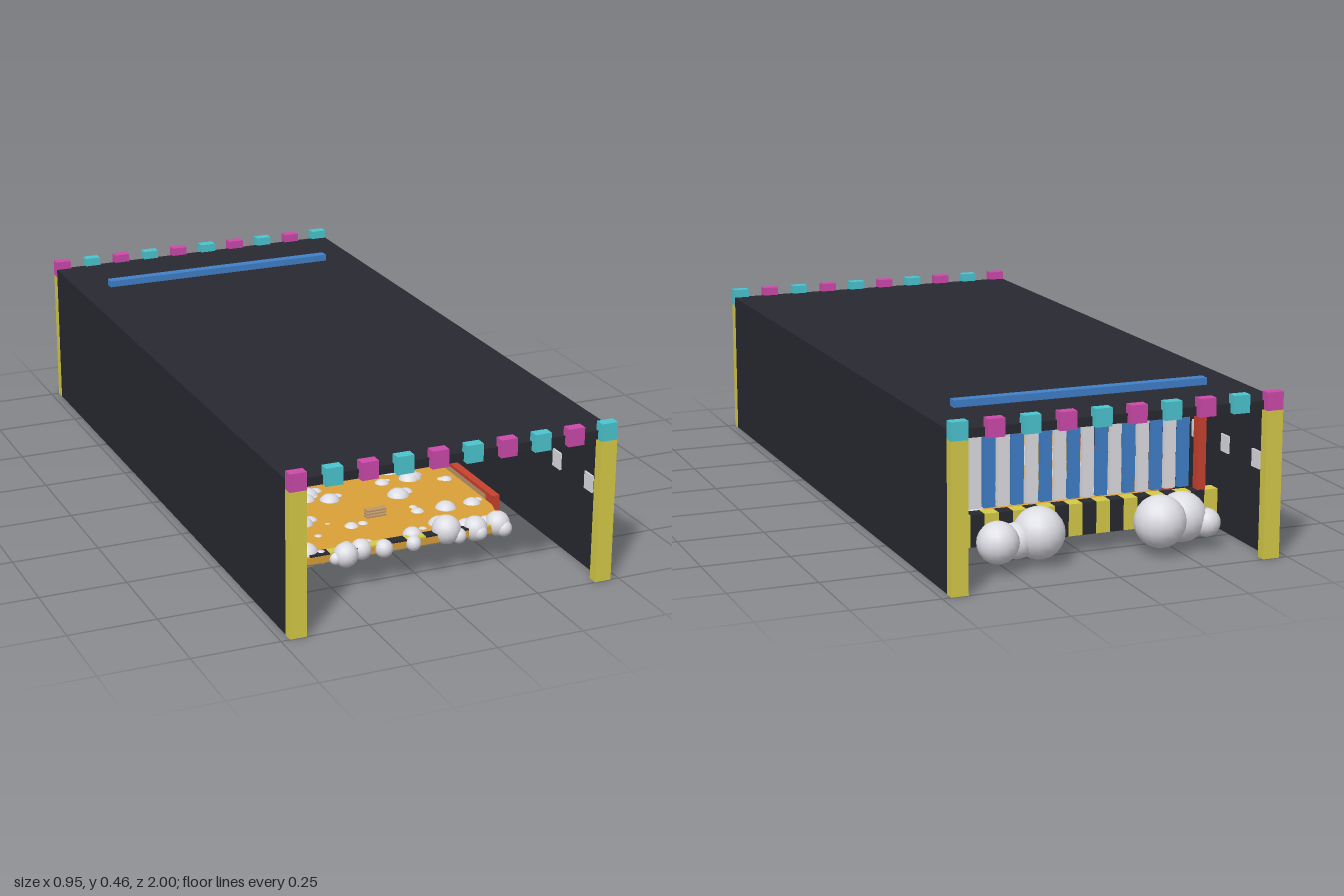
import * as THREE from 'three';

const paint = (name, color) => {
  const m = new THREE.MeshStandardMaterial({ color });
  m.name = name;
  return m;
};

export function createModel() {
  const model = new THREE.Group();
  model.name = 'washTunnel';

  const charcoal = paint('charcoal', 0x282831);
  const yellow = paint('yellow', 0xd6ca48);
  const teal = paint('teal', 0x4bc5d0);
  const magenta = paint('magenta', 0xcc4aaa);
  const blue = paint('blue', 0x4080c8);
  const red = paint('red', 0xc8412f);
  const white = paint('foamWhite', 0xdcdce3);
  const gold = paint('gold', 0xdaa038);
  const tan = paint('tan', 0xbe9868);
  const stone = paint('stoneGrey', 0x7e7c70);

  const group = (name) => {
    const g = new THREE.Group();
    g.name = name;
    model.add(g);
    return g;
  };
  // Box given by its extents along each axis
  const box = (parent, name, mat, x0, x1, y0, y1, z0, z1) => {
    const mesh = new THREE.Mesh(new THREE.BoxGeometry(x1 - x0, y1 - y0, z1 - z0), mat);
    mesh.position.set((x0 + x1) / 2, (y0 + y1) / 2, (z0 + z1) / 2);
    mesh.name = name;
    parent.add(mesh);
    return mesh;
  };
  const ballGeometry = new THREE.SphereGeometry(1, 16, 12);
  const ball = (parent, name, mat, x, y, z, r) => {
    const mesh = new THREE.Mesh(ballGeometry, mat);
    mesh.position.set(x, y, z);
    mesh.scale.setScalar(r);
    mesh.name = name;
    parent.add(mesh);
  };

  // Tunnel shell: two walls and a roof, open at the ends and below
  const shell = group('shell');
  box(shell, 'roof', charcoal, -0.474, 0.474, 0.412, 0.437, -0.98, 0.98);
  for (const s of [-1, 1]) {
    const wall = box(shell, 'wall', charcoal, -0.01, 0.01, 0, 0.412, -0.97, 0.97);
    wall.position.x = s * 0.464;
    // Light panels on the inner wall face
    for (let i = -5; i <= 5; i++) {
      const panel = box(shell, 'wallLight', white, -0.003, 0.003, 0.23, 0.28, -0.022, 0.022);
      panel.position.x = s * 0.452;
      panel.position.z = i * 0.18;
    }
  }

  // Corner posts and coloured blocks along both end edges
  const ends = group('endTrim');
  for (const z of [-0.985, 0.985]) {
    for (const x of [-0.451, 0.451]) {
      box(ends, 'cornerPost', yellow, x - 0.024, x + 0.024, 0, 0.412, z - 0.015, z + 0.015);
    }
    for (let i = 0; i < 10; i++) {
      const x = -0.451 + i * 0.1002;
      box(ends, 'edgeBlock', i % 2 ? teal : magenta,
        x - 0.024, x + 0.024, 0.412, 0.462, z - 0.0151, z + 0.0151);
    }
  }

  // Ceiling lights, nozzles and the hanging ball
  const ceiling = group('ceilingFittings');
  for (let i = -5; i <= 5; i++) {
    for (const x of [-0.33, -0.11, 0.11, 0.33]) {
      box(ceiling, 'ceilingLight', stone, x - 0.02, x + 0.02, 0.408, 0.4125, i * 0.18 - 0.02, i * 0.18 + 0.02);
    }
  }
  for (let i = -3; i <= 3; i++) ball(ceiling, 'nozzle', stone, i * 0.09, 0.408, -0.55, 0.011);
  ball(ceiling, 'hangingBall', white, 0, 0.345, 0, 0.036);

  // Strip curtain in a red frame near the back
  const curtain = group('curtain');
  const cz = -0.74;
  box(curtain, 'roofBar', blue, -0.372, 0.372, 0.437, 0.457, cz - 0.015, cz + 0.015);
  for (let i = 0; i < 16; i++) {
    const x = -0.309 + i * 0.0412;
    box(curtain, 'curtainStrip', i % 2 ? white : blue,
      x - 0.0165, x + 0.0165, 0.152, 0.412, cz - 0.008, cz + 0.008);
  }
  for (const x of [-0.362, 0.362]) {
    box(curtain, 'framePost', red, x - 0.012, x + 0.012, 0.13, 0.412, cz - 0.015, cz + 0.015);
  }
  // Sill: red towards the front, hazard blocks on its top and back
  box(curtain, 'sill', red, -0.41, 0.41, 0.05, 0.13, cz, cz + 0.02);
  const dash = 0.82 / 20;
  for (let i = 0; i < 20; i++) {
    const mat = i % 2 ? charcoal : yellow;
    const x = -0.41 + i * dash;
    box(curtain, 'hazardTop', mat, x, x + dash, 0.13, 0.14, cz - 0.02, cz + 0.02);
    box(curtain, 'hazardBack', mat, x, x + dash, 0.05, 0.13, cz - 0.02, cz);
  }

  // Raised floor with tapered front
  const floor = group('floor');
  const slab = (name, mat, w, z0, z1, y, h) => {
    const shape = new THREE.Shape([
      new THREE.Vector2(-w, -z0), new THREE.Vector2(-w, -z1 + 0.14),
      new THREE.Vector2(-w + 0.04, -z1), new THREE.Vector2(w - 0.04, -z1),
      new THREE.Vector2(w, -z1 + 0.14), new THREE.Vector2(w, -z0),
    ]);
    const geo = new THREE.ExtrudeGeometry(shape, { depth: h, bevelEnabled: false });
    geo.rotateX(-Math.PI / 2);
    const mesh = new THREE.Mesh(geo, mat);
    mesh.position.y = y;
    mesh.name = name;
    floor.add(mesh);
  };
  slab('floorSlab', gold, 0.335, -0.72, 0.7, 0.054, 0.02);
  slab('underside', stone, 0.335, -0.62, 0.695, 0.048, 0.006);
  box(floor, 'backUnderside', tan, -0.335, 0.335, 0.048, 0.054, -0.72, -0.62);

  // Side rails with red caps and ends, and tan patches beneath
  for (const s of [-1, 1]) {
    const parts = [
      box(floor, 'sideRail', tan, -0.012, 0.012, 0.05, 0.09, -0.72, 0.52),
      box(floor, 'railCap', red, -0.012, 0.012, 0.09, 0.1, -0.72, 0.52),
      box(floor, 'railEnd', red, -0.012, 0.012, 0.05, 0.1, 0.52, 0.56),
    ];
    for (const part of parts) part.position.x = s * 0.347;
    const patch = box(floor, 'undersidePatch', tan, -0.06, 0.06, 0.043, 0.049, -0.24, 0.24);
    patch.position.x = s * 0.29;
  }
  for (let i = 0; i < 10; i++) {
    const x = -0.29 + i * 0.058;
    box(floor, 'frontHazard', i % 2 ? yellow : charcoal, x, x + 0.058, 0.074, 0.079, 0.67, 0.699);
  }
  // Small slatted rack on the floor
  for (let i = 0; i < 3; i++) {
    box(floor, 'rackSlat', tan, -0.04, 0.02, 0.077 + i * 0.009, 0.082 + i * 0.009, 0.5, 0.52);
  }

  // Small hook on a dark plate under the middle
  box(floor, 'hookPlate', charcoal, -0.025, 0.025, 0.043, 0.049, -0.025, 0.025);
  const hook = new THREE.Mesh(new THREE.TorusGeometry(0.016, 0.006, 8, 16, Math.PI), yellow);
  hook.position.set(0, 0.024, 0);
  hook.name = 'centreHook';
  floor.add(hook);

  // Foam bubbles: [x, y, radius] along the front edge
  const foam = group('foam');
  const front = [
    [-0.285, 0.066, 0.035], [-0.315, 0.06, 0.02], [-0.185, 0.066, 0.035], [-0.165, 0.063, 0.022],
    [-0.13, 0.065, 0.03], [-0.07, 0.065, 0.026], [-0.05, 0.06, 0.014], [0.002, 0.062, 0.013],
    [0.02, 0.065, 0.022], [0.035, 0.066, 0.029], [0.13, 0.08, 0.042], [0.16, 0.064, 0.022],
    [0.2, 0.064, 0.028], [0.22, 0.068, 0.036], [0.225, 0.063, 0.022], [0.265, 0.064, 0.026],
    [0.29, 0.072, 0.036], [0.3, 0.063, 0.024], [0.32, 0.062, 0.015], [-0.25, 0.062, 0.02],
    [-0.215, 0.06, 0.018], [-0.1, 0.06, 0.02],
  ];
  front.forEach(([x, y, r], i) => ball(foam, 'frontBubble', white, x, y, 0.66 + (i % 3) * 0.02, r));

  // Large bubbles heaped behind the curtain
  const heap = [
    [-0.27, 0.09, 0.07], [-0.19, 0.093, 0.073], [0.155, 0.09, 0.072],
    [0.285, 0.085, 0.058], [0.22, 0.075, 0.05], [-0.33, 0.075, 0.04],
  ];
  heap.forEach(([x, y, r], i) => ball(foam, 'backBubble', white, x, y, -0.82 - (i % 2) * 0.03, r));

  // Scattered bubbles across the floor, clear of the hook
  let seed = 7;
  const rand = () => (seed = (seed * 16807) % 2147483647) / 2147483647;
  for (let i = 0; i < 80; i++) {
    const x = (0.06 + rand() * 0.25) * (i % 2 ? 1 : -1);
    const z = -0.66 + rand() * 1.3;
    const r = 0.015 + rand() * 0.022;
    ball(foam, 'bubble', white, x, 0.058, z, r);
    if (i % 3) ball(foam, 'bubble', white, x + r * 0.9, 0.056, z - r * 0.5, r * 0.75);
  }

  return model;
}
